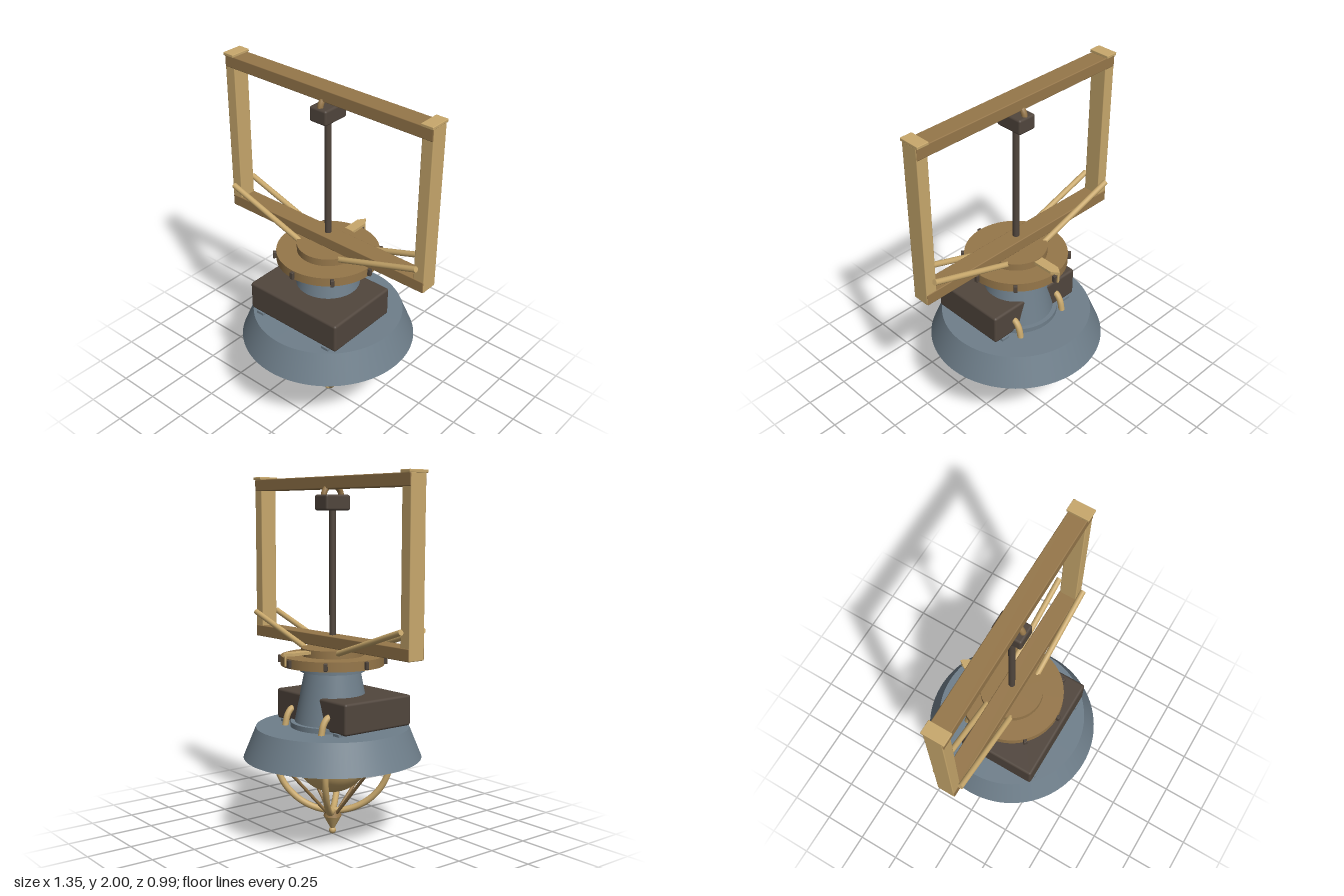
import * as THREE from 'three';
import { RoundedBoxGeometry } from 'three/addons/geometries/RoundedBoxGeometry.js';

const mat = (name, color) => {
  const m = new THREE.MeshStandardMaterial({ color });
  m.name = name;
  return m;
};

export function createModel() {
  const tan = mat('pale brass', 0xc8a86c);
  const bronze = mat('bronze', 0x96774a);
  const slate = mat('slate blue', 0x6f7f8b);
  const dark = mat('dark brown', 0x51463d);

  const model = new THREE.Group();
  model.name = 'scannerLamp';
  const V = (x, y, z) => new THREE.Vector3(x, y, z);

  const add = (name, geometry, material, x = 0, y = 0, z = 0) => {
    const mesh = new THREE.Mesh(geometry, material);
    mesh.name = name;
    mesh.position.set(x, y, z);
    model.add(mesh);
    return mesh;
  };
  // Round part between two heights
  const drum = (name, material, rTop, rBottom, y0, y1, seg = 64) =>
    add(name, new THREE.CylinderGeometry(rTop, rBottom, y1 - y0, seg), material, 0, (y0 + y1) / 2, 0);
  // Straight round bar between two points
  const bar = (name, material, a, b, r) => {
    const mesh = add(name, new THREE.CylinderGeometry(r, r, a.distanceTo(b), 16), material);
    mesh.position.copy(a).add(b).multiplyScalar(0.5);
    mesh.quaternion.setFromUnitVectors(V(0, 1, 0), b.clone().sub(a).normalize());
    return mesh;
  };
  // Box given by its centre and size
  const block = (name, material, x, y, z, w, h, d, r = 0.005) =>
    add(name, new RoundedBoxGeometry(w, h, d, 2, r), material, x, y, z);

  // Skirt, column and turntable
  drum('skirt', slate, 0.425, 0.495, 0.457, 0.627, 96);
  drum('columnFoot', slate, 0.235, 0.235, 0.627, 0.655);
  drum('column', slate, 0.155, 0.21, 0.655, 0.935);
  drum('columnCollar', slate, 0.18, 0.18, 0.935, 0.972);
  drum('turntable', bronze, 0.285, 0.285, 0.97, 1.022);
  drum('turntableHub', bronze, 0.172, 0.172, 1.022, 1.064);
  for (let i = 0; i < 8; i++) {
    const a = i * Math.PI / 4;
    const bolt = block('turntableBolt', dark, 0.289 * Math.sin(a), 0.997, 0.289 * Math.cos(a), 0.02, 0.042, 0.028, 0.003);
    bolt.rotation.y = a;
  }

  // Equipment box on two runners, with a pipe to the skirt on each side
  block('equipmentBox', dark, 0, 0.724, 0.073, 0.622, 0.172, 0.462, 0.014);
  for (const s of [-1, 1]) {
    block('boxRunner', slate, s * 0.24, 0.633, 0.073, 0.05, 0.02, 0.476, 0.003);
    const path = new THREE.CatmullRomCurve3([
      V(s * 0.165, 0.72, -0.13), V(s * 0.165, 0.712, -0.165), V(s * 0.165, 0.68, -0.19), V(s * 0.165, 0.62, -0.205)]);
    add('boxPipe', new THREE.TubeGeometry(path, 16, 0.018, 12), tan);
  }

  // Rectangular frame
  block('frameTopBeam', bronze, 0, 1.953, 0, 1.346, 0.066, 0.106);
  block('frameBottomBeam', bronze, 0, 1.099, 0, 1.346, 0.066, 0.106);
  for (const s of [-1, 1]) {
    block('framePost', tan, s * 0.642, 1.527, 0, 0.066, 0.922, 0.1);
    block('frameCap', tan, s * 0.641, 1.992, 0, 0.07, 0.016, 0.122, 0.003);
    for (const z of [-0.075, 0.075])
      bar('frameBrace', tan, V(s * 0.64, 1.213, z), V(s * 0.1, 1.036, z), 0.016);
  }

  // Central pole hung from the top beam
  drum('centrePole', dark, 0.018, 0.018, 1.06, 1.82, 24);
  block('poleHead', dark, 0, 1.848, 0, 0.11, 0.084, 0.164, 0.012);
  add('poleShackle', new THREE.TorusGeometry(0.06, 0.016, 12, 40), bronze, 0, 1.88, 0).rotation.y = Math.PI / 2;

  // Pointer at the back of the turntable
  const arrow = new THREE.Shape([[-0.029, 0.15], [0.029, 0.15], [0.029, 0.29], [0, 0.33], [-0.029, 0.29]]
    .map(([x, y]) => new THREE.Vector2(x, y)));
  add('pointer', new THREE.ExtrudeGeometry(arrow, { depth: 0.016, bevelEnabled: false }), tan, 0, 1.042, 0)
    .rotation.x = -Math.PI / 2;
  block('pointerTip', tan, 0, 1.017, -0.318, 0.012, 0.06, 0.01, 0.002);

  // Lamp dome and its cage
  add('lampDome', new THREE.SphereGeometry(0.207, 48, 24, 0, Math.PI * 2, Math.PI / 2, Math.PI / 2), tan, 0, 0.457, 0);
  add('cageRing', new THREE.TorusGeometry(0.337, 0.017, 12, 72), tan, 0, 0.456, 0).rotation.x = Math.PI / 2;
  for (let i = 0; i < 4; i++) {
    // Curved ribs on the diagonals
    const a = Math.PI / 4 + i * Math.PI / 2;
    const points = [];
    for (let k = 0; k <= 10; k++) {
      const t = k / 10 * Math.PI / 2;
      const r = 0.325 * Math.cos(t);
      points.push(V(r * Math.sin(a), 0.455 - 0.32 * Math.sin(t), r * Math.cos(a)));
    }
    add('cageRib', new THREE.TubeGeometry(new THREE.CatmullRomCurve3(points), 40, 0.018, 12), tan);
    // Thin straight stays between them
    const b = i * Math.PI / 2;
    bar('cageStay', bronze, V(0.335 * Math.sin(b), 0.45, 0.335 * Math.cos(b)),
      V(0.03 * Math.sin(b), 0.12, 0.03 * Math.cos(b)), 0.009);
  }

  // Finial
  drum('finialCollar', bronze, 0.04, 0.051, 0.105, 0.14, 32);
  drum('finialCone', tan, 0.051, 0.013, 0.035, 0.105, 32);
  add('finialBall', new THREE.SphereGeometry(0.02, 20, 14), tan, 0, 0.02, 0);

  return model;
}
